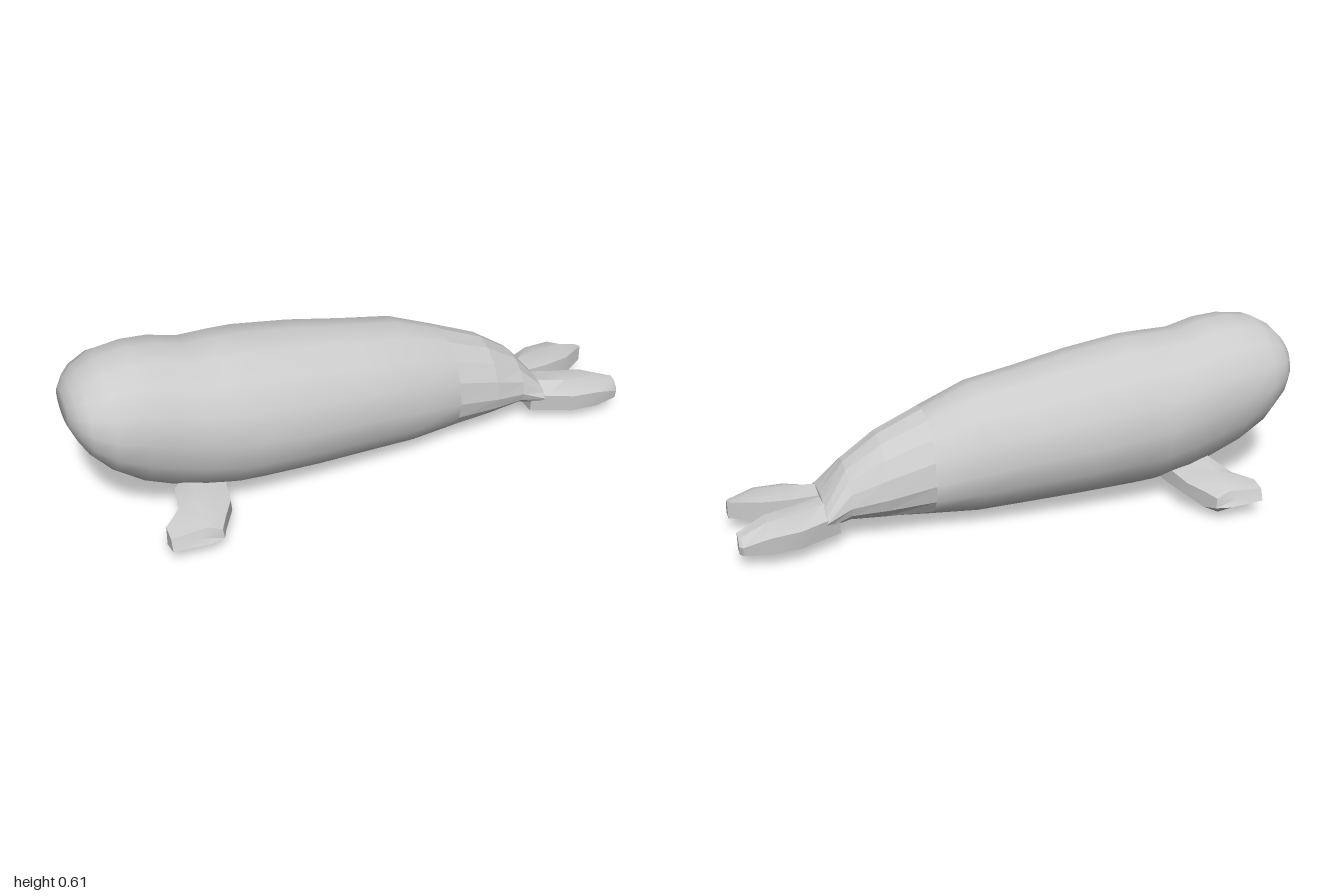
import * as THREE from 'three';
import { toCreasedNormals } from 'three/addons/utils/BufferGeometryUtils.js';

const SIDES = 16;

// Skins a list of rings (arrays of [x, y, z]); ends may be closed with a fan.
function loft(rings, capStart, capEnd) {
  const n = rings[0].length;
  const points = rings.flat();
  const index = [];
  for (let i = 0; i < rings.length - 1; i++) {
    for (let j = 0; j < n; j++) {
      const a = i * n + j, b = i * n + (j + 1) % n;
      index.push(a, b, a + n, b, b + n, a + n);
    }
  }
  const cap = (start, ring, flip) => {
    const centre = [0, 1, 2].map(k => ring.reduce((s, p) => s + p[k], 0) / n);
    const c = points.push(centre) - 1;
    for (let j = 0; j < n; j++) {
      const a = start + j, b = start + (j + 1) % n;
      index.push(c, flip ? b : a, flip ? a : b);
    }
  };
  if (capStart) cap(0, rings[0], true);
  if (capEnd) cap((rings.length - 1) * n, rings[rings.length - 1], false);
  const geometry = new THREE.BufferGeometry();
  geometry.setAttribute('position', new THREE.Float32BufferAttribute(points.flat(), 3));
  geometry.setIndex(index);
  geometry.computeVertexNormals();
  return geometry;
}

// Egg-shaped ring: top, widest height, bottom and half width at x.
function bodyRing([x, top, mid, bottom, half]) {
  return Array.from({ length: SIDES }, (_, j) => {
    const t = j / SIDES * Math.PI * 2, c = Math.cos(t);
    return [x, mid + c * (c > 0 ? top - mid : mid - bottom), half * Math.sin(t)];
  });
}

const mirror = rings => rings.map(r => r.map(([x, y, z]) => [x, y, -z]).reverse());

export function createModel() {
  const group = new THREE.Group();
  const add = (name, geometry, flatShading = false) => {
    const material = new THREE.MeshStandardMaterial({ color: 0xcccccc, flatShading });
    const mesh = new THREE.Mesh(geometry, material);
    mesh.name = name;
    group.add(mesh);
  };

  // Head and trunk, smooth: x, top, widest height, bottom, half width
  const trunk = [
    [-1, 0.50, 0.44, 0.39, 0.085],
    [-0.975, 0.53, 0.43, 0.33, 0.14],
    [-0.945, 0.56, 0.42, 0.275, 0.175],
    [-0.88, 0.598, 0.40, 0.20, 0.21],
    [-0.78, 0.612, 0.38, 0.125, 0.225],
    [-0.69, 0.606, 0.36, 0.085, 0.232],
    [-0.59, 0.578, 0.33, 0.055, 0.24],
    [-0.48, 0.576, 0.31, 0.04, 0.255],
    [-0.4, 0.574, 0.30, 0.036, 0.255],
    [-0.2, 0.545, 0.28, 0.03, 0.249],
    [0, 0.506, 0.26, 0.024, 0.23],
    [0.17, 0.478, 0.235, 0.02, 0.212],
    [0.34, 0.41, 0.20, 0.033, 0.178],
  ];
  add('body', loft(trunk.map(bodyRing), true, false));

  // Faceted rump tapering to the tail
  const rump = [
    trunk[trunk.length - 1],
    [0.5, 0.34, 0.165, 0.05, 0.157],
    [0.62, 0.256, 0.14, 0.06, 0.13],
    [0.705, 0.155, 0.105, 0.05, 0.14],
  ];
  add('rump', loft(rump.map(bodyRing), false, true), true);

  // Tail fin sections: x, inner z, outer z, inner top, crown top, outer top
  const finRings = [
    [0.66, 0, 0.12, 0.145, 0.15, 0.12],
    [0.71, 0.005, 0.14, 0.14, 0.148, 0.115],
    [0.80, 0.022, 0.182, 0.13, 0.143, 0.115],
    [0.90, 0.045, 0.19, 0.125, 0.138, 0.112],
    [0.99, 0.105, 0.17, 0.112, 0.108, 0.082],
    [1, 0.11, 0.155, 0.112, 0.105, 0.08],
  ].map(([x, zi, zo, yi, yc, yo]) => [
    [x, yi, zi], [x, yc, zi * 0.45 + zo * 0.55], [x, yo, zo], [x, 0.05, zo - 0.005], [x, 0.05, zi],
  ]);

  // Front flipper sections, from inside the body out to the tip
  const flipperRings = [
    [[-0.51, 0.06, 0.1], [-0.515, 0.115, 0.1], [-0.65, 0.155, 0.12], [-0.69, 0.11, 0.12], [-0.68, 0.05, 0.1], [-0.58, 0.035, 0.1]],
    [[-0.535, 0.06, 0.245], [-0.54, 0.105, 0.25], [-0.65, 0.132, 0.24], [-0.715, 0.115, 0.24], [-0.71, 0.03, 0.23], [-0.6, 0.012, 0.23]],
    [[-0.58, 0.035, 0.31], [-0.58, 0.095, 0.315], [-0.65, 0.118, 0.31], [-0.775, 0.105, 0.30], [-0.775, 0.035, 0.30], [-0.64, 0, 0.30]],
    [[-0.6, 0.05, 0.36], [-0.605, 0.085, 0.358], [-0.65, 0.104, 0.352], [-0.775, 0.095, 0.352], [-0.775, 0.055, 0.368], [-0.65, 0.052, 0.375]],
  ];

  const creased = rings => toCreasedNormals(loft(rings, true, true), 0.6);
  add('leftTailFin', creased(finRings));
  add('rightTailFin', creased(mirror(finRings)));
  add('leftFlipper', creased(flipperRings));
  add('rightFlipper', creased(mirror(flipperRings)));
  return group;
}
